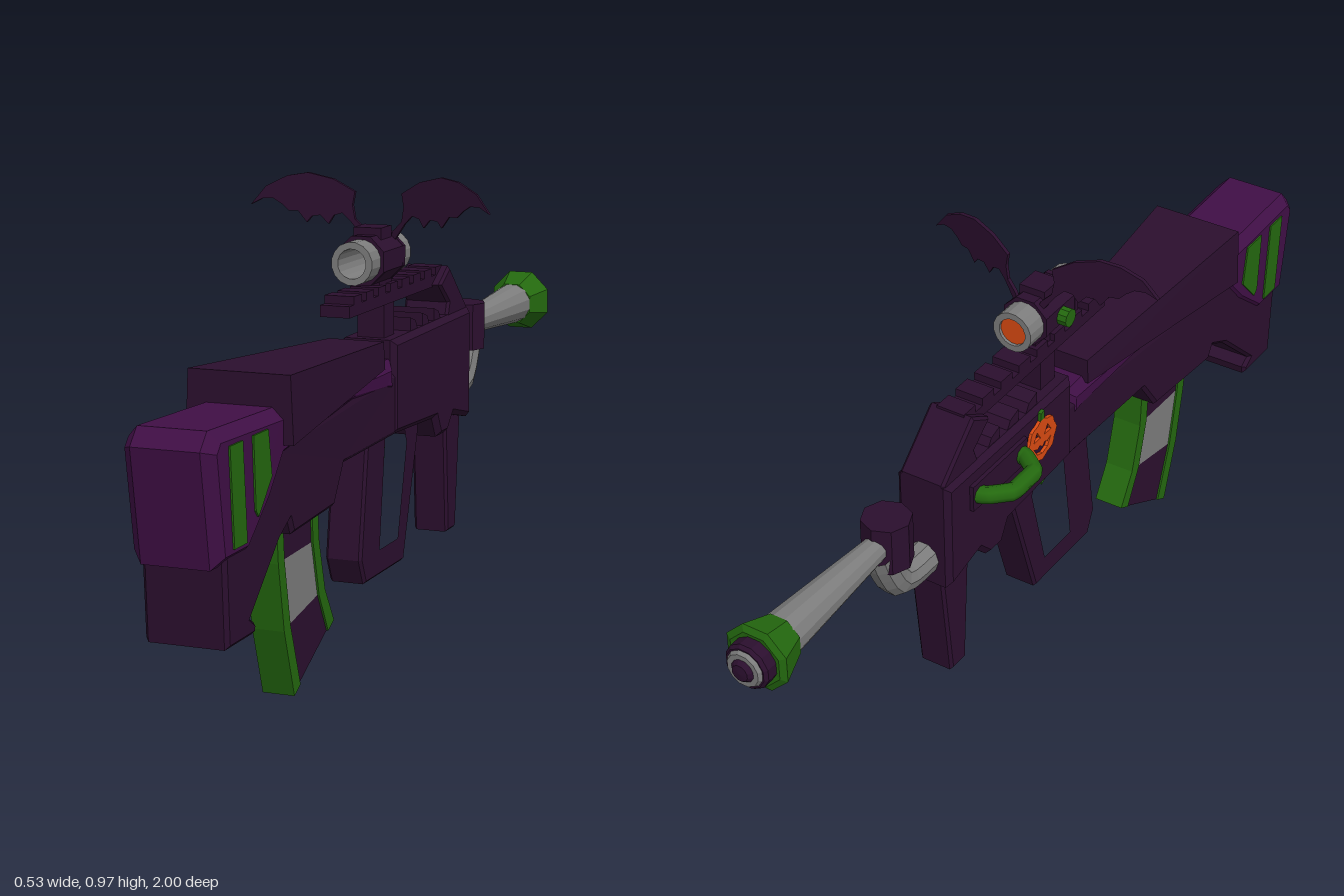
import * as THREE from 'three';

const mat = (name, color) => {
  const m = new THREE.MeshStandardMaterial({ color });
  m.name = name;
  return m;
};

export function createModel() {
  const root = new THREE.Group();
  root.name = 'fantasyRifle';
  const dark = mat('darkPlum', 0x2b0f2e), purple = mat('purple', 0x400f46), green = mat('green', 0x24690f);
  const grey = mat('grey', 0x7c7c7c), orange = mat('orange', 0xd94a12);

  const add = (name, geo, material, parent = root) => {
    const mesh = new THREE.Mesh(geo, material);
    mesh.name = name;
    parent.add(mesh);
    return mesh;
  };
  const flat = (geo) => {
    const g = geo.index ? geo.toNonIndexed() : geo;
    g.computeVertexNormals();
    return g;
  };
  const outline = (pts) => pts.map(([a, b]) => new THREE.Vector2(a, b));

  // Side profile given as [z, y], extruded across x to half-width w.
  // rule(x, y, z) may return a new x to taper the part.
  function profile(name, pts, w, material, { bevel = 0, holes = [], x = 0, rule } = {}) {
    const shape = new THREE.Shape(outline(pts));
    holes.forEach((h) => shape.holes.push(new THREE.Path(outline(h))));
    const geo = new THREE.ExtrudeGeometry(shape, {
      depth: 2 * (w - bevel), bevelEnabled: bevel > 0, bevelSize: bevel,
      bevelThickness: bevel, bevelOffset: -bevel, bevelSegments: 1, curveSegments: 6,
    });
    geo.translate(0, 0, -(w - bevel)).rotateY(-Math.PI / 2).translate(x, 0, 0);
    if (rule) {
      const p = geo.attributes.position;
      for (let i = 0; i < p.count; i++) p.setX(i, rule(p.getX(i), p.getY(i), p.getZ(i)));
      geo.computeVertexNormals();
    }
    return add(name, geo, material);
  }
  const box = (name, w, h, d, x, y, z, material) =>
    add(name, new THREE.BoxGeometry(w, h, d).translate(x, y, z), material);
  // Faceted turned part along z: profile as [radius, z], listed from -z to +z
  const turned = (name, pts, y, material, sides = 12) =>
    add(name, flat(new THREE.LatheGeometry(outline(pts), sides, Math.PI / sides).rotateX(Math.PI / 2)
      .translate(0, y, 0)), material);

  const widen = (z) => 0.062 + 0.028 * THREE.MathUtils.clamp((z - 0.1) / 0.6, 0, 1);

  // Stock: purple shell over a dark lower body
  profile('stock', [[1, 0.59], [0.97, 0.623], [0.7, 0.615], [0.4, 0.607], [0.1, 0.603], [0.05, 0.6], [0.05, 0.525],
    [0.1, 0.53], [0.3, 0.545], [0.68, 0.515], [0.74, 0.45], [0.84, 0.37], [0.965, 0.37]], 0.09, purple,
    { bevel: 0.022, rule: (x, y, z) => x * widen(z) / 0.09 });
  profile('lowerBody', [[0.935, 0.4], [0.925, 0.215], [0.805, 0.215], [0.8, 0.235], [0.825, 0.25], [0.695, 0.365],
    [0.64, 0.39], [0.625, 0.36], [0.4, 0.365], [0.345, 0.44], [0, 0.44], [0, 0.57], [0.3, 0.57], [0.7, 0.54]],
    0.085, dark, { bevel: 0.008, rule: (x, y, z) => x * widen(z) / 0.0915 });
  profile('cheekCover', [[0.69, 0.677], [0.115, 0.647], [0.115, 0.59], [0.69, 0.545]], 0.11, dark, {
    rule: (x, y, z) => x * (0.58 + 0.42 * (z - 0.115) / 0.575) * (y > 0.62 ? 0.95 : 1),
  });
  for (const s of [-1, 1]) {
    const opt = { x: s * 0.0905 };
    profile('rearStripe', [[0.93, 0.59], [0.875, 0.59], [0.86, 0.4], [0.915, 0.4]], 0.003, green, opt);
    profile('frontStripe', [[0.83, 0.59], [0.765, 0.59], [0.75, 0.5], [0.81, 0.437], [0.822, 0.45]], 0.003, green, opt);
  }

  // Receiver with the sloped front sight block
  profile('receiver', [[0.055, 0.64], [-0.41, 0.645], [-0.41, 0.395], [-0.3, 0.42], [-0.265, 0.385], [-0.215, 0.385],
    [-0.19, 0.43], [0.055, 0.44]], 0.063, dark, { bevel: 0.012 });
  profile('sightBlock', [[-0.24, 0.715], [-0.3, 0.75], [-0.41, 0.65], [-0.41, 0.6], [-0.27, 0.6], [-0.295, 0.67]],
    0.052, dark, { bevel: 0.006 });
  box('railPost', 0.06, 0.11, 0.055, 0, 0.67, 0.008, dark);
  box('rail', 0.064, 0.024, 0.53, 0, 0.722, -0.035, dark);
  for (let i = 0; i < 8; i++) box('railTooth', 0.064, 0.018, 0.042, 0, 0.742, 0.185 - i * 0.067, dark);
  for (let i = 0; i < 3; i++) {
    const z = -0.065 - i * 0.07;
    profile('receiverRib', [[z, 0.63], [z, 0.67], [z - 0.03, 0.66], [z - 0.05, 0.63]], 0.05, dark);
  }

  // Grips and trigger
  profile('triggerGrip', [[0.15, 0.46], [0.19, 0.2], [0.165, 0.145], [-0.055, 0.145], [-0.14, 0.41], [-0.14, 0.46]],
    0.04, dark, { bevel: 0.006, holes: [[[0.06, 0.44], [0.093, 0.195], [-0.022, 0.195], [-0.075, 0.4], [-0.06, 0.44]]] });
  profile('trigger', [[0.035, 0.45], [0.025, 0.385], [0.005, 0.375], [-0.005, 0.45]], 0.018, green);
  profile('foregrip', [[-0.305, 0.44], [-0.325, 0.145], [-0.378, 0.145], [-0.408, 0.44]], 0.04, dark, { bevel: 0.006 });

  // Curved magazine: green edges with a banded core
  const rear = [[0.6, 0.38], [0.593, 0.29], [0.567, 0.15], [0.52, 0.008]];
  const fore = [[0.4, 0.38], [0.395, 0.295], [0.365, 0.185], [0.32, 0.11]];
  const across = (i, t) => [0, 1].map((k) => THREE.MathUtils.lerp(rear[i][k], fore[i][k], t));
  const strip = (rows, a, b) => [...rows.map((i) => across(i, a)), ...[...rows].reverse().map((i) => across(i, b))];
  profile('magazineRearEdge', strip([0, 1, 2, 3], 0, 0.15), 0.034, green);
  profile('magazineFrontEdge', strip([0, 1, 2, 3], 0.85, 1), 0.034, green);
  [dark, grey, dark].forEach((m, i) => profile('magazineBand', strip([i, i + 1], 0.15, 0.85), 0.03, m));

  // Barrel: elbow pipe, joint, cone and flared muzzle
  const bend = new THREE.CatmullRomCurve3([[0.455, -0.39], [0.455, -0.46], [0.465, -0.505], [0.53, -0.545], [0.57, -0.56]]
    .map(([y, z]) => new THREE.Vector3(0, y, z)));
  add('elbowPipe', flat(new THREE.TubeGeometry(bend, 8, 0.036, 10)), grey);
  add('barrelJoint', flat(new THREE.CylinderGeometry(0.052, 0.052, 0.105, 8).translate(0, 0.583, -0.53)), dark);
  turned('barrelCone', [[0, -0.89], [0.048, -0.89], [0.026, -0.56], [0, -0.56]], 0.583, grey);
  turned('muzzleFlare', [[0, -0.945], [0.06, -0.952], [0.074, -0.945], [0.05, -0.875], [0, -0.875]], 0.583, green, 8);
  turned('muzzleRing', [[0, -0.975], [0.044, -0.982], [0.05, -0.975], [0.05, -0.94], [0, -0.94]], 0.583, dark);
  turned('muzzleLip', [[0, -0.989], [0.036, -0.989], [0.043, -0.978], [0, -0.978]], 0.583, grey);
  turned('muzzleCap', [[0, -1], [0.018, -0.998], [0.027, -0.987], [0, -0.987]], 0.583, dark);

  // Scope: hollow tube, octagonal housing, lens and knob
  turned('scopeTube', [[0.031, -0.08], [0.045, -0.08], [0.045, 0.14], [0.031, 0.14], [0.031, -0.08]], 0.807, grey, 16);
  turned('scopeLens', [[0, -0.073], [0.032, -0.073], [0.032, -0.066], [0, -0.066]], 0.807, orange, 16);
  turned('scopeHousing', [[0.046, -0.025], [0.054, -0.025], [0.054, 0.09], [0.046, 0.09]], 0.807, dark, 8);
  for (const z of [-0.025, 0.085]) turned('housingRim', [[0.04, z - 0.006], [0.055, z - 0.006], [0.055, z + 0.006],
    [0.04, z + 0.006]], 0.807, dark, 8);
  box('scopeTurret', 0.06, 0.03, 0.06, 0, 0.857, 0.025, dark);
  box('scopeMount', 0.044, 0.04, 0.07, 0, 0.752, 0.008, dark);
  add('scopeKnob', flat(new THREE.CylinderGeometry(0.02, 0.02, 0.03, 10).rotateZ(Math.PI / 2)
    .translate(-0.056, 0.805, 0.03)), green);

  // Bat wings, swept back towards the tips
  const wing = [[0.025, 0.845], [0.03, 0.858], [0.052, 0.88], [0.057, 0.91], [0.052, 0.938], [0.096, 0.964],
    [0.148, 0.977], [0.19, 0.97], [0.233, 0.948], [0.264, 0.909], [0.24, 0.922], [0.218, 0.922], [0.2, 0.91],
    [0.187, 0.897], [0.168, 0.897], [0.15, 0.873], [0.14, 0.886], [0.122, 0.888], [0.106, 0.87], [0.095, 0.888],
    [0.078, 0.893], [0.06, 0.875], [0.047, 0.857], [0.035, 0.84]];
  for (const s of [-1, 1]) {
    const geo = new THREE.ExtrudeGeometry(new THREE.Shape(outline(wing.map(([x, y]) => [s * x, y]))),
      { depth: 0.009, bevelEnabled: false });
    const p = geo.attributes.position;
    for (let i = 0; i < p.count; i++) p.setZ(i, p.getZ(i) - 0.028 + 0.265 * Math.abs(p.getX(i)));
    geo.computeVertexNormals();
    add(s > 0 ? 'leftWing' : 'rightWing', geo, dark);
  }

  // Side handle and its base plate
  box('handleBase', 0.012, 0.06, 0.2, -0.066, 0.578, -0.235, dark);
  const grip = new THREE.CurvePath();
  const bar = [[-0.062, -0.315], [-0.085, -0.308], [-0.124, -0.27], [-0.124, -0.19], [-0.085, -0.16], [-0.062, -0.155]]
    .map(([x, z]) => new THREE.Vector3(x, 0.578, z));
  for (let i = 1; i < bar.length; i++) grip.add(new THREE.LineCurve3(bar[i - 1], bar[i]));
  add('sideHandle', new THREE.TubeGeometry(grip, 24, 0.019, 8), green);

  // Carved pumpkin ornament
  const rim = [];
  for (let i = 0; i < 32; i++) {
    const a = i / 32 * Math.PI * 2, r = 0.053 + 0.003 * Math.cos(a * 8);
    rim.push([-0.075 + r * Math.cos(a), 0.565 + r * 0.92 * Math.sin(a)]);
  }
  const eye = (z) => [[z - 0.013, 0.573], [z + 0.013, 0.573], [z, 0.593]];
  const mouth = [[-0.108, 0.557], [-0.093, 0.549], [-0.085, 0.555], [-0.075, 0.546], [-0.065, 0.555], [-0.057, 0.549],
    [-0.042, 0.557], [-0.056, 0.536], [-0.075, 0.53], [-0.094, 0.536]];
  profile('pumpkin', rim, 0.004, orange, { x: -0.066, holes: [eye(-0.095), eye(-0.055), mouth] });
  profile('pumpkinStem', [[-0.083, 0.61], [-0.08, 0.632], [-0.068, 0.635], [-0.067, 0.61]], 0.004, green, { x: -0.066 });
  return root;
}
